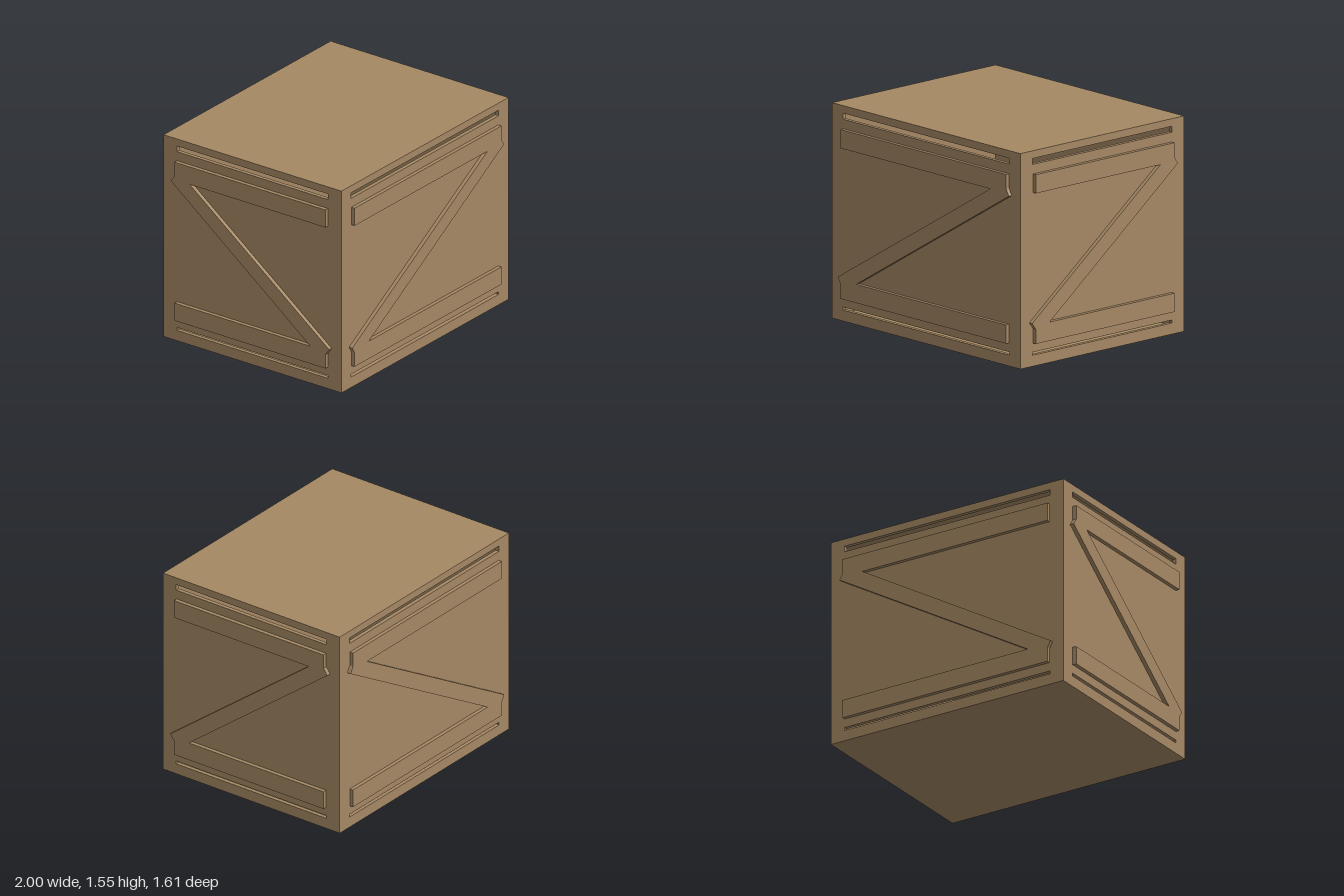
import * as THREE from 'three';

const W = 1.94, H = 1.555, D = 1.555; // crate body
const T = 0.03;                        // wall thickness
const MID = H / 2;

const polygon = (points, Type = THREE.Shape) =>
  new Type(points.map(([x, y]) => new THREE.Vector2(x, y)));

const rect = (x, y0, y1, Type) => polygon([[-x, y0], [x, y0], [x, y1], [-x, y1]], Type);

// Flat wall with mitred edges, outer face at local z = 0, optional handle slots
function panelGeometry(w, h, slotHalf) {
  const shape = rect(w / 2, -h / 2, h / 2);
  if (slotHalf) {
    for (const [y0, y1] of [[0.08, 0.102], [1.457, 1.5]]) {
      shape.holes.push(rect(slotHalf, y0 - MID, y1 - MID, THREE.Path));
    }
  }
  const geo = new THREE.ExtrudeGeometry(shape, { depth: T, bevelEnabled: false });
  geo.translate(0, 0, -T);
  const p = geo.attributes.position;
  for (let i = 0; i < p.count; i++) {
    if (p.getZ(i) > -T / 2) continue;
    const x = p.getX(i), y = p.getY(i);
    if (Math.abs(Math.abs(x) - w / 2) < 1e-4) p.setX(i, x - Math.sign(x) * T);
    if (Math.abs(Math.abs(y) - h / 2) < 1e-4) p.setY(i, y - Math.sign(y) * T);
  }
  geo.computeVertexNormals();
  return geo;
}

// Z-shaped brace: two rails and a diagonal, point-symmetric about the wall centre
function braceGeometry(rail, tip, inner, depth) {
  const half = [
    [-rail, 0.167], [rail, 0.167], [rail, 0.302], [-inner, 0.302],
    [tip, 1.235], [rail, 1.282],
  ].map(([x, y]) => [x, y - MID]);
  const points = [...half, ...half.map(([x, y]) => [-x, -y])];
  return new THREE.ExtrudeGeometry(polygon(points), { depth, bevelEnabled: false });
}

export function createModel() {
  const crate = new THREE.Group();
  crate.name = 'crate';
  const wood = new THREE.MeshStandardMaterial({ color: 0xa58864 });
  wood.name = 'wood';

  const add = (name, geo, x, y, z, rx = 0, ry = 0) => {
    const mesh = new THREE.Mesh(geo, wood);
    mesh.name = name;
    mesh.position.set(x, y, z);
    mesh.rotation.set(rx, ry, 0);
    crate.add(mesh);
  };
  const Q = Math.PI / 2;

  // Hollow body
  const wide = panelGeometry(W, H, 0.857);
  const narrow = panelGeometry(D, H, 0.662);
  const cap = panelGeometry(W, D);
  add('frontWall', wide, 0, MID, D / 2);
  add('backWall', wide, 0, MID, -D / 2, 0, Math.PI);
  add('leftWall', narrow, W / 2, MID, 0, 0, Q);
  add('rightWall', narrow, -W / 2, MID, 0, 0, -Q);
  add('lid', cap, 0, H, 0, -Q);
  add('floor', cap, 0, 0, 0, Q);

  // Braces, opposite walls sharing the same outline
  const wideDepth = 0.028, narrowDepth = 0.03;
  const wideBrace = braceGeometry(0.854, 0.881, 0.69, wideDepth);
  const narrowBrace = braceGeometry(0.659, 0.693, 0.527, narrowDepth);
  add('frontBrace', wideBrace, 0, MID, D / 2);
  add('backBrace', wideBrace, 0, MID, -D / 2 - wideDepth);
  add('leftBrace', narrowBrace, W / 2, MID, 0, 0, Q);
  add('rightBrace', narrowBrace, -W / 2 - narrowDepth, MID, 0, 0, Q);

  return crate;
}
